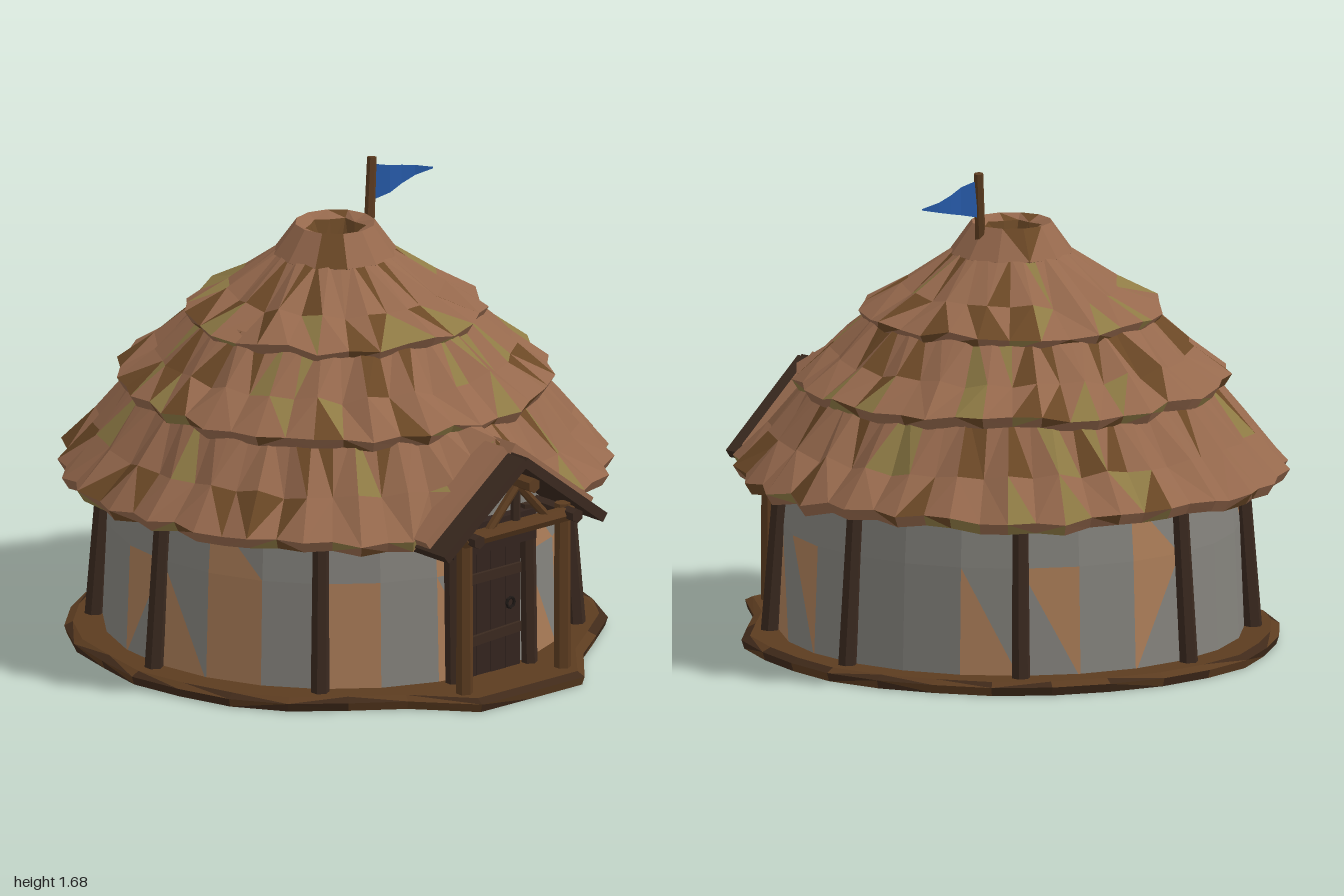
import * as THREE from 'three';

const CZ = -0.04; // centre of the round house
const THATCH = [0x96694d, 0x6b4826, 0x8f7b45];
const PLASTER = [0x84827c, 0xab7d58];
const DARK = 0x3a291f, WOOD = 0x5c3c20, DOOR = 0x33241e;

let seed = 7;
const rand = () => (seed = (seed * 16807) % 2147483647) / 2147483647;
const jitter = (s) => (rand() - 0.5) * 2 * s;
const V = (x, y, z) => new THREE.Vector3(x, y, z);
const mat = (color, side = THREE.FrontSide) =>
  new THREE.MeshStandardMaterial({ color, flatShading: true, side });
const polar = (a, r, y) => V(Math.sin(a) * r, y, CZ + Math.cos(a) * r);

// Ring of points; fn(i, angle) gives [radius, height]
function ring(n, fn) {
  return Array.from({ length: n }, (_, i) => {
    const a = (i / n) * Math.PI * 2;
    const [r, y] = fn(i, a);
    return polar(a, r, y);
  });
}

// Skin between rings (top outside to bottom); pick(row) chooses a palette index per triangle
function faceted(name, rings, palette, pick) {
  const group = new THREE.Group();
  group.name = name;
  const buckets = palette.map(() => []);
  for (let k = 0; k < rings.length - 1; k++) {
    const n = rings[k].length;
    for (let i = 0; i < n; i++) {
      const j = (i + 1) % n;
      const a = rings[k][i], b = rings[k][j], c = rings[k + 1][i], d = rings[k + 1][j];
      const tris = rand() < 0.65 ? [[a, c, d], [a, d, b]] : [[a, c, b], [b, c, d]];
      tris.forEach((t) => buckets[pick(k)].push(...t));
    }
  }
  buckets.forEach((pts, i) => {
    if (!pts.length) return;
    const g = new THREE.BufferGeometry().setFromPoints(pts);
    g.computeVertexNormals();
    const m = new THREE.Mesh(g, mat(palette[i], THREE.DoubleSide));
    m.name = `${name}Patch${i + 1}`;
    group.add(m);
  });
  return group;
}

// Round timber between two points
function beam(name, p, q, r, color = DARK, rTop = r, sides = 6) {
  const m = new THREE.Mesh(new THREE.CylinderGeometry(rTop, r, p.distanceTo(q), sides), mat(color));
  m.position.copy(p).add(q).multiplyScalar(0.5);
  m.quaternion.setFromUnitVectors(V(0, 1, 0), q.clone().sub(p).normalize());
  m.name = name;
  return m;
}

function box(name, w, h, d, x, y, z, color, rz = 0) {
  const m = new THREE.Mesh(new THREE.BoxGeometry(w, h, d), mat(color));
  m.position.set(x, y, z);
  m.rotation.z = rz;
  m.name = name;
  return m;
}

// One pleated thatch layer with a ragged eave and a turned-under lip
function thatchTier(name, lobes, rTop, yTop, rEave, yEave, rIn) {
  const n = lobes * 2;
  const fold = Array.from({ length: n }, (_, i) => (i % 2 ? -1 : 1) * (0.4 + rand() * 0.6));
  const drop = fold.map(() => jitter(0.016));
  const rMid = rTop * 0.45 + rEave * 0.55, yMid = yTop * 0.42 + yEave * 0.58;
  const s = rEave * 0.022;
  const rings = [
    ring(n, () => [rTop, yTop]),
    ring(n, (i) => [rMid + fold[i] * s, yMid + fold[i] * 0.014 + jitter(0.01)]),
    ring(n, (i) => [rEave + fold[i] * s, yEave + drop[i] + 0.02]),
    ring(n, (i) => [rEave - 0.025 + fold[i] * s, yEave + drop[i] - 0.02]),
    ring(n, () => [rIn, yEave + 0.02]),
  ];
  // Front of the lowest layer lifts into a gable over the porch
  if (yEave < 0.7) rings.forEach((row, k) => row.forEach((p) => {
    if (p.z < 0.45 || Math.abs(p.x) > 0.45) return;
    const lift = 0.9 - 0.76 * Math.abs(p.x) - (k > 2 ? 0.04 : 0);
    p.y = Math.max(p.y, lift + jitter(0.008));
    p.z = Math.min(p.z, 0.81 + jitter(0.015));
  }));
  return faceted(name, rings, THATCH, () => {
    const v = rand();
    return v < 0.74 ? 0 : v < 0.89 ? 1 : 2;
  });
}

function createPorch() {
  const porch = new THREE.Group();
  porch.name = 'porch';
  const slope = 0.65;
  for (const s of [-1, 1]) {
    porch.add(
      beam('porchPost', V(s * 0.225, 0.03, 0.89), V(s * 0.225, 0.64, 0.89), 0.03, WOOD, 0.028),
      beam('porchSideRail', V(s * 0.225, 0.61, 0.7), V(s * 0.225, 0.61, 0.97), 0.025),
      beam('gableStrut', V(s * 0.13, 0.62, 0.91), V(0, 0.76, 0.91), 0.016, WOOD),
      box('gableBoard', 0.46, 0.035, 0.36, s * 0.182, 0.71, 0.775, DARK, -s * slope),
      box('porchThatch', 0.45, 0.04, 0.28, s * 0.195, 0.738, 0.73, THATCH[0], -s * slope),
      beam('doorPost', V(s * 0.175, 0.04, 0.775), V(s * 0.175, 0.62, 0.765), 0.028, DARK),
    );
  }
  porch.add(
    beam('crossBeam', V(-0.25, 0.605, 0.91), V(0.25, 0.605, 0.91), 0.027, WOOD),
    beam('kingPost', V(0, 0.62, 0.9), V(0, 0.79, 0.9), 0.018, DARK),
    beam('ridgePole', V(0, 0.775, 0.65), V(0, 0.775, 1), 0.027, WOOD),
  );
  // Plastered triangle above the door
  const tri = new THREE.Shape([[-0.3, 0.58], [0.3, 0.58], [0, 0.82]].map((p) => new THREE.Vector2(...p)));
  const gable = new THREE.Mesh(new THREE.ShapeGeometry(tri), mat(PLASTER[0], THREE.DoubleSide));
  gable.position.z = 0.755;
  gable.name = 'gableWall';
  porch.add(gable);
  return porch;
}

function createDoor() {
  const door = new THREE.Group();
  door.name = 'door';
  for (let i = 0; i < 4; i++)
    door.add(box('doorPlank', 0.066, 0.46 - (i % 2) * 0.012, 0.03, -0.102 + i * 0.068, 0.27, 0.757, DOOR));
  door.add(
    box('doorBrace', 0.26, 0.035, 0.02, 0, 0.18, 0.775, DARK, 0.05),
    box('doorBrace', 0.26, 0.035, 0.02, 0, 0.4, 0.775, DARK),
    box('doorLintel', 0.38, 0.11, 0.05, 0, 0.55, 0.77, DOOR),
  );
  const handle = new THREE.Mesh(new THREE.TorusGeometry(0.018, 0.006, 5, 8), mat(0x1e1815));
  handle.position.set(0.085, 0.28, 0.778);
  handle.name = 'doorHandle';
  door.add(handle);
  return door;
}

function createFlag() {
  const flag = new THREE.Group();
  flag.name = 'flag';
  flag.add(beam('flagPole', V(0.145, 1.38, -0.03), V(0.178, 1.675, -0.05), 0.019, WOOD, 0.017));
  // Tapering pennant with a light ripple
  const cloth = new THREE.PlaneGeometry(0.26, 0.13, 4, 1);
  const p = cloth.attributes.position;
  for (let i = 0; i < p.count; i++) {
    const t = p.getX(i) / 0.26 + 0.5;
    p.setXYZ(i, 0.18 + t * 0.26, 1.585 + p.getY(i) * (1 - t * 0.96), -0.045 + 0.012 * Math.sin(t * 7) + t * 0.01);
  }
  const m = new THREE.Mesh(cloth, mat(0x2558a5, THREE.DoubleSide));
  m.name = 'pennant';
  flag.add(m);
  return flag;
}

export function createModel() {
  seed = 7;
  const hut = new THREE.Group();
  hut.name = 'roundHut';

  // Floor disc with a lobe under the porch
  const N = 28;
  const rim = Array.from({ length: N }, (_, i) => {
    const k = Math.min(i, N - i);
    return k === 0 ? 1.035 : k === 1 ? 1.06 : k === 2 ? 0.93 : 0.93 + jitter(0.015);
  });
  hut.add(faceted('floor', [
    ring(N, () => [0, 0.045]),
    ring(N, (i) => [rim[i] - 0.03, 0.045]),
    ring(N, (i) => [rim[i], 0.03]),
    ring(N, (i) => [rim[i] - 0.01, 0]),
    ring(N, () => [0, 0.005]),
  ], [WOOD, 0x402a1a], (k) => (k < 1 ? 0 : k < 3 && rand() < 0.5 ? 0 : 1)));

  // Plastered wall in two courses with bare patches
  hut.add(faceted('wall', [
    ring(24, () => [0.77, 0.64]),
    ring(24, () => [0.79, 0.42]),
    ring(24, () => [0.805, 0.03]),
  ], PLASTER, (k) => (rand() < (k ? 0.36 : 0.2) ? 1 : 0)));

  // Leaning wall posts; the door takes the front place
  for (let i = 1; i < 8; i++) {
    const a = (i * Math.PI) / 4;
    hut.add(beam('wallPost', polar(a, 0.835, 0.03), polar(a, 0.79, 0.64), 0.033, DARK, 0.028));
  }

  // Stacked thatch layers
  hut.add(
    thatchTier('lowerThatch', 30, 0.68, 0.95, 0.95, 0.6, 0.76),
    thatchTier('middleThatch', 23, 0.46, 1.19, 0.75, 0.915, 0.66),
    thatchTier('upperThatch', 15, 0.19, 1.39, 0.52, 1.155, 0.44),
  );

  // Smoke-hole collar
  hut.add(faceted('smokeCollar', [
    ring(12, () => [0, 1.37]),
    ring(12, () => [0.065, 1.37]),
    ring(12, (i) => [i % 2 ? 0.09 : 0.11, 1.46]),
    ring(12, () => [0.14, 1.48]),
    ring(12, () => [0.215, 1.375]),
    ring(12, () => [0.18, 1.355]),
  ], [THATCH[0], THATCH[1]], (k) => (k === 1 || rand() < 0.15 ? 1 : 0)));

  hut.add(createPorch(), createDoor(), createFlag());
  return hut;
}
